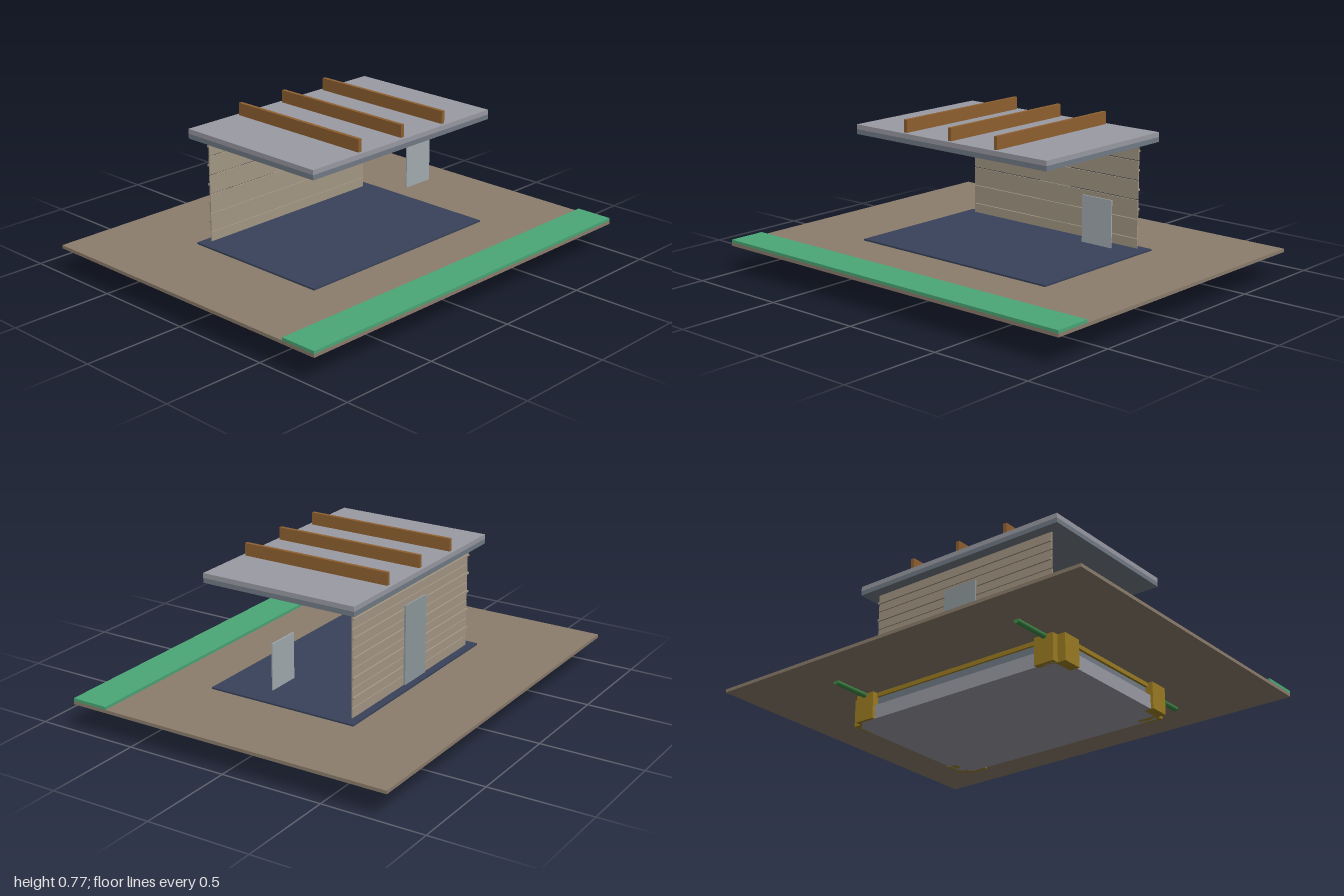
import * as THREE from 'three';

const mat = (color) => new THREE.MeshStandardMaterial({ color });
const M = {
  earth: mat(0x8c7d6c), green: mat(0x4aa677), concrete: mat(0x9a9aa4), steel: mat(0x727b86),
  gold: mat(0x9c7c22), floor: mat(0x38425a), wall: mat(0xa59885), door: mat(0x8f9a9e),
  glass: mat(0xa3adb1), wood: mat(0x8f6030), pipe: mat(0x3f8a48),
};

export function createModel() {
  const model = new THREE.Group();

  // box given by its min and max on each axis
  const box = (name, m, x0, x1, y0, y1, z0, z1) => {
    const mesh = new THREE.Mesh(new THREE.BoxGeometry(x1 - x0, y1 - y0, z1 - z0), m);
    mesh.position.set((x0 + x1) / 2, (y0 + y1) / 2, (z0 + z1) / 2);
    mesh.name = name;
    model.add(mesh);
  };

  // horizontal slab with cut corners
  const cutSlab = (name, m, hx, hz, cut, y0, y1) => {
    const pts = [
      [hx, hz - cut], [hx - cut, hz], [cut - hx, hz], [-hx, hz - cut],
      [-hx, cut - hz], [cut - hx, -hz], [hx - cut, -hz], [hx, cut - hz],
    ].map(([x, y]) => new THREE.Vector2(x, y));
    const geo = new THREE.ExtrudeGeometry(new THREE.Shape(pts), { depth: y1 - y0, bevelEnabled: false });
    geo.rotateX(-Math.PI / 2);
    geo.translate(0, y0, 0);
    const mesh = new THREE.Mesh(geo, m);
    mesh.name = name;
    model.add(mesh);
  };

  // ground and planted strip
  box('ground', M.earth, -1, 1, 0.13, 0.146, -0.817, 0.817);
  box('greenStrip', M.green, -1, 1, 0.146, 0.16, 0.635, 0.817);

  // foundation below the ground
  cutSlab('foundation', M.concrete, 0.587, 0.397, 0.05, 0, 0.067);
  cutSlab('foundationUpper', M.steel, 0.562, 0.378, 0.04, 0.067, 0.11);
  cutSlab('foundationCap', M.gold, 0.575, 0.388, 0.04, 0.11, 0.13);

  // corner pads and drain pipes
  for (const sx of [-1, 1]) for (const sz of [-1, 1]) {
    const span = (s, a, b) => (s > 0 ? [a, b] : [-b, -a]);
    box('cornerPad', M.gold, ...span(sx, 0.46, 0.56), 0, 0.13, ...span(sz, 0.36, 0.413));
    box('cornerPad', M.gold, ...span(sx, 0.55, 0.6), 0, 0.13, ...span(sz, 0.28, 0.38));
    const pipe = new THREE.Mesh(new THREE.CylinderGeometry(0.014, 0.014, 0.2, 16), M.pipe);
    pipe.rotation.x = Math.PI / 2;
    pipe.position.set(sx * 0.513, 0.126, sz * 0.503);
    pipe.name = 'drainPipe';
    model.add(pipe);
  }

  // floor
  box('floor', M.floor, -0.56, 0.56, 0.146, 0.154, -0.38, 0.38);

  // back wall: boards with narrow gaps, and a batten along each board
  const gaps = [0.154, 0.203, 0.295, 0.387, 0.479, 0.571, 0.66];
  for (let i = 0; i < gaps.length - 1; i++) {
    box('wallBoard', M.wall, -0.508, 0.508, gaps[i] + 0.002, gaps[i + 1] - 0.002, -0.343, -0.337);
    const mid = (gaps[i] + gaps[i + 1]) / 2;
    if (i > 0) box('wallBatten', M.wall, -0.508, 0.508, mid - 0.005, mid + 0.005, -0.351, -0.343);
  }
  box('door', M.door, -0.09, 0.09, 0.165, 0.548, -0.36, -0.351);

  // free standing pane at the left side
  box('sidePane', M.glass, 0.455, 0.62, 0.25, 0.468, -0.003, 0.003);

  // roof and its beams
  box('roofBase', M.steel, -0.577, 0.577, 0.66, 0.683, -0.395, 0.395);
  box('roofTop', M.concrete, -0.577, 0.577, 0.683, 0.706, -0.395, 0.395);
  for (const x of [-0.274, 0, 0.274])
    box('roofBeam', M.wood, x - 0.009, x + 0.009, 0.706, 0.766, -0.378, 0.378);

  return model;
}
